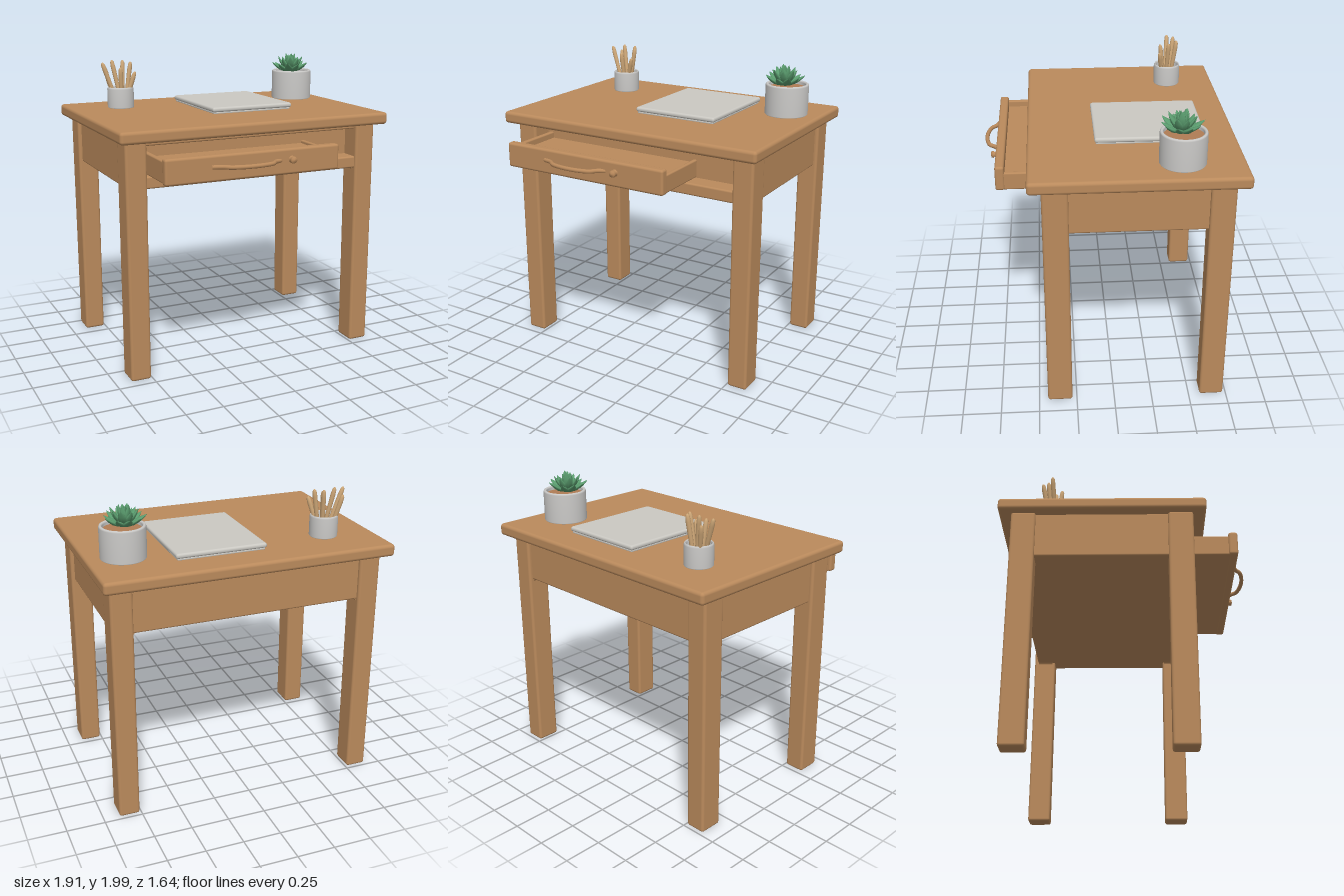
import * as THREE from 'three';
import { RoundedBoxGeometry } from 'three/addons/geometries/RoundedBoxGeometry.js';

const mat = (name, color) => {
  const m = new THREE.MeshStandardMaterial({ color });
  m.name = name;
  return m;
};

export function createModel() {
  const wood = mat('wood', 0xba8a5c);
  const ceramic = mat('ceramic', 0xcbcac8);
  const paper = mat('paper', 0xcac8c2);
  const soilMat = mat('soil', 0xb07c54);
  const green = mat('leaf green', 0x5a9c6e);
  const pale = mat('pale pencil wood', 0xcfa878);
  const model = new THREE.Group();
  model.name = 'desk';

  const add = (name, geo, material, parent = model) => {
    const mesh = new THREE.Mesh(geo, material);
    mesh.name = name;
    parent.add(mesh);
    return mesh;
  };
  // Rounded box given by its limits on each axis
  const box = (name, [x0, x1], [y0, y1], [z0, z1], r, material = wood, parent = model) => {
    const mesh = add(name, new RoundedBoxGeometry(x1 - x0, y1 - y0, z1 - z0, 3, r), material, parent);
    mesh.position.set((x0 + x1) / 2, (y0 + y1) / 2, (z0 + z1) / 2);
    return mesh;
  };
  const group = (name) => {
    const g = new THREE.Group();
    g.name = name;
    model.add(g);
    return g;
  };

  // Table top
  box('tableTop', [-0.955, 0.952], [1.58, 1.66], [-0.812, 0.525], 0.022);

  // Four legs, slightly wider at the top
  for (const side of [-1, 1]) {
    for (const [name, z0, z1] of [['frontLeg', 0.28, 0.442], ['backLeg', -0.73, -0.572]]) {
      const leg = box(name, side < 0 ? [-0.9, -0.757] : [0.757, 0.9], [0.005, 1.59], [z0, z1], 0.018);
      const p = leg.geometry.attributes.position;
      for (let i = 0; i < p.count; i++) if (p.getY(i) < 0) p.setX(i, p.getX(i) * 0.95);
    }
  }

  // Apron body with a closed underside and an opening for the drawer
  box('apronBody', [-0.875, 0.875], [1.275, 1.59], [-0.705, 0.3], 0.012);
  box('frontRail', [-0.79, 0.79], [1.275, 1.355], [0.25, 0.425], 0.012);
  box('upperRail', [-0.79, 0.79], [1.545, 1.59], [0.25, 0.41], 0.01);
  // Curved brackets where the front rail meets the legs
  for (const side of [-1, 1]) {
    const s = new THREE.Shape();
    s.moveTo(0, 0);
    s.lineTo(-0.035, 0);
    s.quadraticCurveTo(0, 0, 0, -0.035);
    s.closePath();
    for (const z of [0.29, -0.7]) {
      const bracket = add('bracket', new THREE.ExtrudeGeometry(s, { depth: 0.11, bevelEnabled: false }), wood);
      bracket.position.set(side * 0.76, 1.28, side > 0 ? z : z + 0.11);
      if (side < 0) bracket.rotation.y = Math.PI;
    }
  }

  // Open drawer
  const drawer = group('drawer');
  box('drawerFloor', [-0.738, 0.43], [1.357, 1.455], [0.22, 0.7], 0.01, wood, drawer);
  box('drawerLeftSide', [0.405, 0.432], [1.357, 1.475], [0.22, 0.7], 0.01, wood, drawer);
  box('drawerRightSide', [-0.742, -0.71], [1.357, 1.497], [0.22, 0.7], 0.01, wood, drawer);
  box('drawerFront', [-0.755, 0.44], [1.355, 1.52], [0.675, 0.735], 0.016, wood, drawer);

  // Bowed handle
  const bow = new THREE.CatmullRomCurve3([
    [-0.45, 0.73], [-0.39, 0.75], [-0.345, 0.785], [-0.27, 0.805], [-0.2, 0.81],
    [-0.13, 0.805], [-0.06, 0.785], [-0.03, 0.75], [0.02, 0.725],
  ].map(([x, z]) => new THREE.Vector3(x, 1.447, z)));
  add('handle', new THREE.TubeGeometry(bow, 40, 0.014, 10), wood, drawer);

  // Small turned knob
  const knob = add('knob', new THREE.LatheGeometry([
    [0.03, 0], [0.022, 0.008], [0.016, 0.02], [0.024, 0.03], [0.02, 0.042], [0, 0.046],
  ].map(([x, y]) => new THREE.Vector2(x, y)), 16), wood, drawer);
  knob.rotation.x = Math.PI / 2;
  knob.position.set(0.095, 1.45, 0.728);

  // Closed pad on the desk: thin lower board and upper cover
  const pad = group('pad');
  box('padBase', [-0.148, 0.432], [1.655, 1.675], [-0.598, 0.092], 0.009, paper, pad);
  box('padCover', [-0.157, 0.442], [1.67, 1.703], [-0.606, 0.1], 0.015, paper, pad);

  // Hollow round vessel with a soft rim
  const vessel = (name, r, h, wall, parent) => {
    const pts = [
      [0, 0], [r - 0.006, 0], [r, 0.008], [r, h - 0.012], [r - 0.004, h - 0.003], [r - wall / 2, h],
      [r - wall + 0.003, h - 0.003], [r - wall, h - 0.012], [r - wall, 0.02], [0, 0.02],
    ].map(([x, y]) => new THREE.Vector2(x, y));
    return add(name, new THREE.LatheGeometry(pts, 40), ceramic, parent);
  };

  // Plant pot with soil and a rosette of pointed leaves
  const plant = group('plant');
  plant.position.set(0.72, 1.657, -0.418);
  vessel('pot', 0.145, 0.213, 0.022, plant);
  const soil = add('soil', new THREE.CylinderGeometry(0.125, 0.125, 0.03, 32), soilMat, plant);
  soil.position.y = 0.17;
  const leafGeo = new THREE.LatheGeometry([
    [0, 0], [0.013, 0.02], [0.024, 0.055], [0.029, 0.085], [0.023, 0.115], [0.009, 0.143], [0, 0.155],
  ].map(([x, y]) => new THREE.Vector2(x, y)), 12);
  leafGeo.scale(1, 1, 0.5);
  const lp = leafGeo.attributes.position;
  for (let i = 0; i < lp.count; i++) lp.setZ(i, lp.getZ(i) - 1.4 * lp.getY(i) ** 2);
  leafGeo.computeVertexNormals();
  const rings = [[10, 1.3, 0.98, 0], [8, 0.88, 0.92, 0.3], [5, 0.45, 0.9, 0.1], [2, 0.12, 0.87, 0.7]];
  for (const [count, tilt, size, start] of rings) {
    for (let i = 0; i < count; i++) {
      const leaf = add('leaf', leafGeo, green, plant);
      leaf.position.set(-0.018, 0.198, 0.012);
      leaf.rotation.order = 'YXZ';
      leaf.rotation.set(tilt, start + (i / count) * Math.PI * 2, 0);
      leaf.scale.setScalar(size * (i % 2 ? 1 : 0.92));
    }
  }

  // Pencil cup with leaning pencils, each given by its foot and tip
  const cup = group('pencilCup');
  cup.position.set(-0.61, 1.657, -0.478);
  vessel('cup', 0.092, 0.147, 0.014, cup);
  const pencils = [
    [[-0.025, 0.01], [-0.125, 0.318, -0.01]],
    [[-0.03, -0.03], [-0.09, 0.285, -0.075]],
    [[0.01, -0.01], [-0.045, 0.33, -0.045]],
    [[0.0, 0.02], [-0.012, 0.285, 0.05]],
    [[0.02, -0.02], [0.04, 0.325, -0.06]],
    [[0.03, 0.01], [0.078, 0.318, 0.0]],
    [[0.02, 0.03], [0.088, 0.255, 0.065]],
  ];
  for (const [[fx, fz], tip] of pencils) {
    const foot = new THREE.Vector3(fx, 0.025, fz);
    const dir = new THREE.Vector3(...tip).sub(foot);
    const len = dir.length();
    const geo = new THREE.LatheGeometry([
      [0, 0], [0.012, 0], [0.016, len - 0.05], [0.013, len - 0.015], [0.006, len - 0.002], [0, len],
    ].map(([x, y]) => new THREE.Vector2(x, y)), 10);
    const pencil = add('pencil', geo, pale, cup);
    pencil.position.copy(foot);
    pencil.quaternion.setFromUnitVectors(new THREE.Vector3(0, 1, 0), dir.normalize());
  }

  return model;
}
